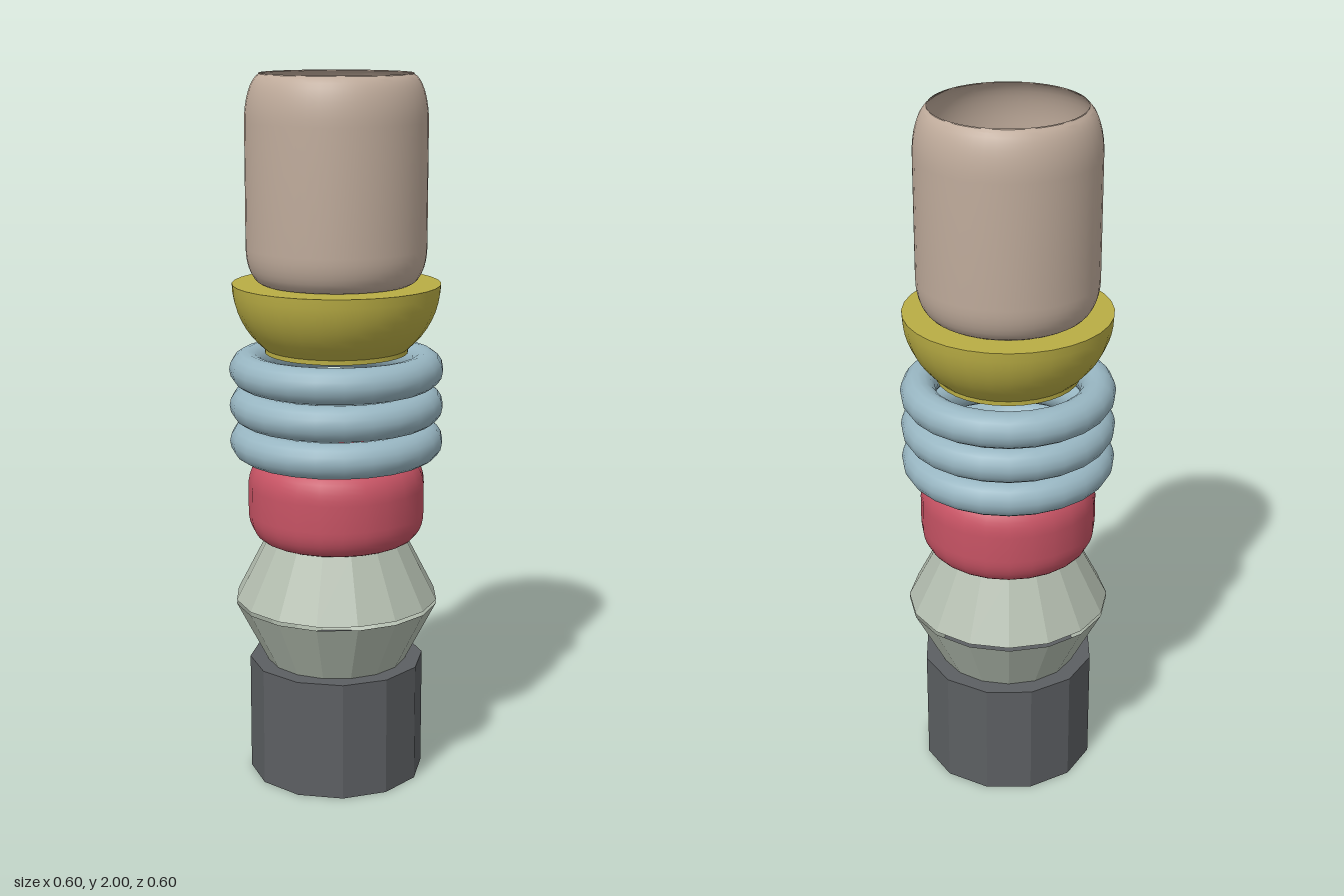
import * as THREE from 'three';
import { toCreasedNormals } from 'three/addons/utils/BufferGeometryUtils.js';

const material = (color, flatShading = false) =>
  new THREE.MeshStandardMaterial({ color, flatShading, side: THREE.DoubleSide });

// Points on a quarter-ellipse-like arc, angles in degrees
function arc(cx, cy, rx, ry, from, to, steps = 8) {
  return Array.from({ length: steps + 1 }, (_, i) => {
    const a = THREE.MathUtils.degToRad(from + ((to - from) * i) / steps);
    return [cx + rx * Math.cos(a), cy + ry * Math.sin(a)];
  });
}

function turned(profile, segments) {
  const points = profile.map(([r, y]) => new THREE.Vector2(r, y));
  return toCreasedNormals(new THREE.LatheGeometry(points, segments), 0.6);
}

export function createModel() {
  const model = new THREE.Group();
  const add = (name, geometry, mat, y = 0) => {
    const mesh = new THREE.Mesh(geometry, mat);
    mesh.name = name;
    mesh.position.y = y;
    model.add(mesh);
  };

  // Solid faceted base
  add('base', new THREE.CylinderGeometry(0.25, 0.25, 0.34, 12), material(0x5c5f62, true), 0.17);

  // Two open cones, rim to rim with a narrow gap
  const coneMat = material(0xb4beb0, true);
  add('lowerCone', new THREE.CylinderGeometry(0.29, 0.2, 0.175, 16, 1, true), coneMat, 0.4275);
  add('upperCone', new THREE.CylinderGeometry(0.2, 0.29, 0.175, 16, 1, true), coneMat, 0.6125);

  // Bulging bead with a hole through its flat ends
  add('bead', turned([
    [0.14, 0.7], [0.2, 0.7],
    ...arc(0.2, 0.78, 0.05, 0.08, -90, 0).slice(1),
    ...arc(0.2, 0.855, 0.05, 0.08, 0, 90),
    [0.14, 0.935],
  ], 24), material(0xc75364));

  // Stack of rings
  for (let i = 0; i < 3; i++) {
    const ring = new THREE.TorusGeometry(0.25, 0.05, 16, 24).rotateX(Math.PI / 2);
    add('ring' + (i + 1), ring, material(0x98b6c2), 0.985 + i * 0.1025);
  }

  // Bowl with a flat rim
  add('bowl', turned([
    [0.2, 1.237], [0.2, 1.25],
    ...arc(0, 1.43, 0.29, 0.25, -46, 0),
    [0.2, 1.43],
  ], 32), material(0xb9ad44));

  // Open-topped sleeve with rounded shoulders and a narrow lip underneath
  add('sleeve', turned([
    [0.19, 1.43], [0.2, 1.43],
    ...arc(0.2, 1.53, 0.05, 0.1, -90, 0).slice(1),
    ...arc(0.2, 1.87, 0.05, 0.13, 0, 78),
    [0.21, 2],
  ], 48), material(0xbfab9b));

  return model;
}
